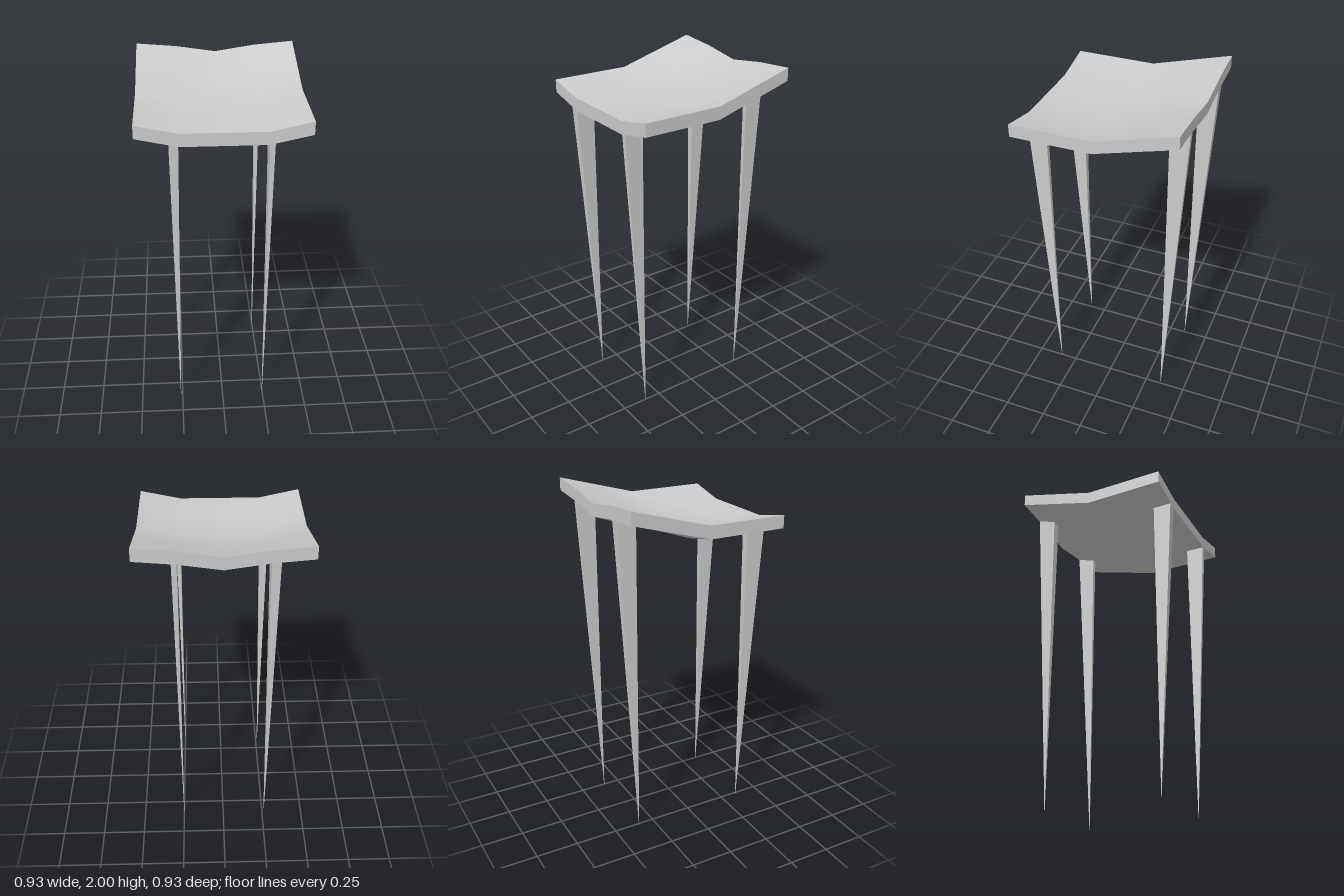
import * as THREE from 'three';

const SIZE = 0.925, THICK = 0.073;

// Heights of the seat's top: rows from back to front, columns from centre to side
const HEIGHTS = [
  [1.945, 1.98, 2.0],
  [1.865, 1.90, 1.935],
  [1.82, 1.82, 1.87],
  [1.82, 1.82, 1.87],
  [1.82, 1.82, 1.87],
];

// Dished slab that sweeps up towards the back
function seatGeometry() {
  const geo = new THREE.BoxGeometry(SIZE, THICK, SIZE, 4, 1, 4);
  const p = geo.attributes.position;
  for (let i = 0; i < p.count; i++) {
    const col = Math.round(Math.abs(p.getX(i)) / SIZE * 4);
    const row = Math.round((p.getZ(i) / SIZE + 0.5) * 4);
    p.setY(i, HEIGHTS[row][col] - THICK / 2 + p.getY(i));
  }
  geo.computeVertexNormals();
  return geo;
}

// Blade-like leg: a box whose foot narrows to a point below its inner edge
function legGeometry(x0, x1, zOuter, zInner, yOuter, yInner) {
  const geo = new THREE.BoxGeometry(1, 1, 1);
  const p = geo.attributes.position;
  const tip = 0.001, mid = (x0 + x1) / 2, sign = Math.sign(zOuter);
  for (let i = 0; i < p.count; i++) {
    const right = p.getX(i) > 0, outer = p.getZ(i) * sign > 0;
    if (p.getY(i) > 0) {
      p.setXYZ(i, right ? x1 : x0, outer ? yOuter : yInner, outer ? zOuter : zInner);
    } else {
      p.setXYZ(i, mid + (right ? tip : -tip), 0, zInner + (outer ? tip * sign : 0));
    }
  }
  geo.computeVertexNormals();
  return geo;
}

export function createModel() {
  const group = new THREE.Group();
  const material = new THREE.MeshStandardMaterial({ color: 0xcccccc });
  const add = (name, geo) => {
    const mesh = new THREE.Mesh(geo, material);
    mesh.name = name;
    group.add(mesh);
  };

  add('seat', seatGeometry());

  // Legs, their tops sunk slightly into the seat
  for (const [side, x0, x1] of [['Left', 0.235, 0.264], ['Right', -0.286, -0.235]]) {
    add('front' + side + 'Leg', legGeometry(x0, x1, 0.46, 0.35, 1.775, 1.775));
    add('back' + side + 'Leg', legGeometry(x0, x1, -0.46, -0.347, 1.93, 1.885));
  }
  return group;
}
